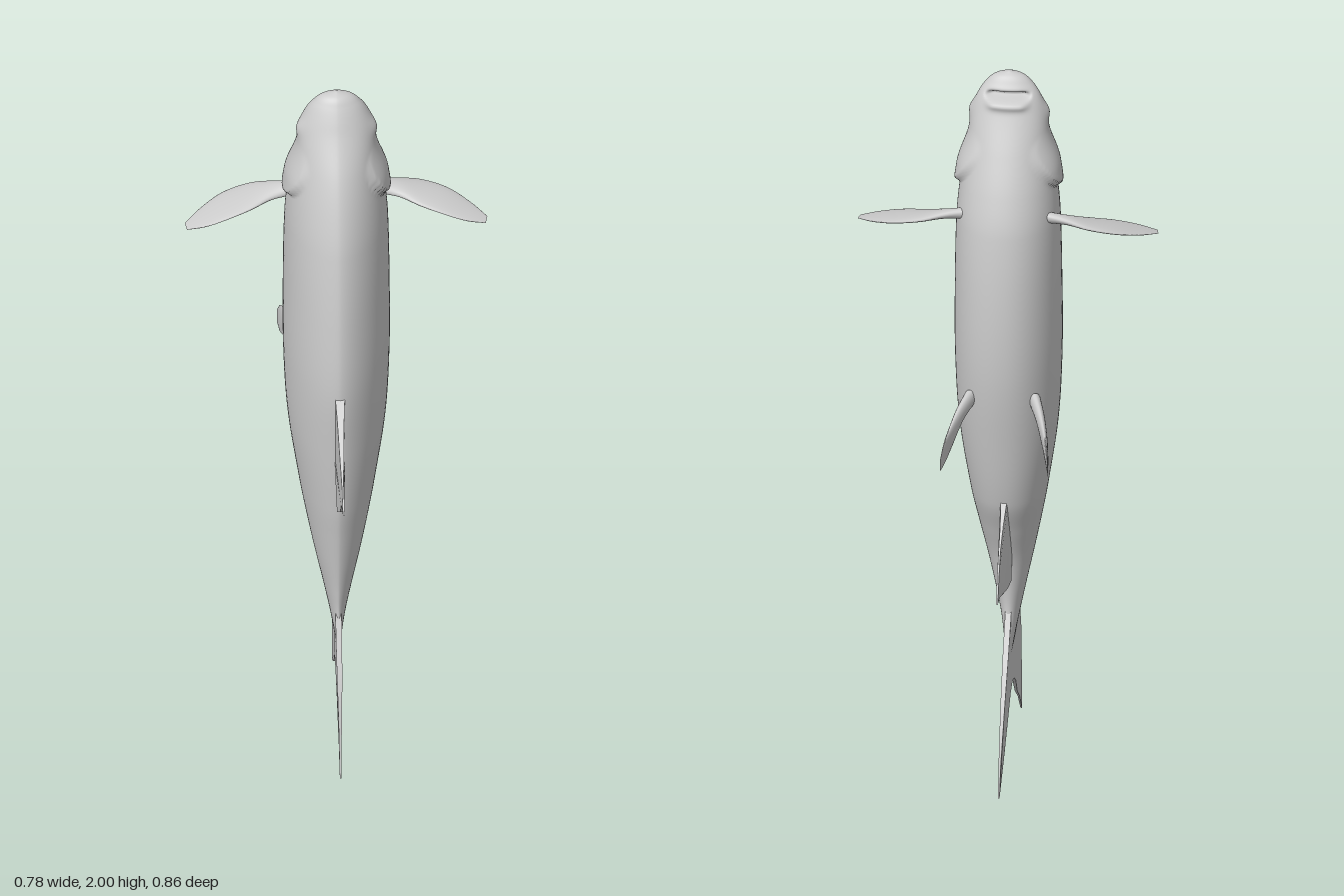
import * as THREE from 'three';
import { toCreasedNormals } from 'three/addons/utils/BufferGeometryUtils.js';

const material = new THREE.MeshStandardMaterial({ color: 0xcccccc, side: THREE.DoubleSide });
const { smoothstep } = THREE.MathUtils;

// Body stations, nose to tail: y, back z, belly z, half width
const STATIONS = [
  [2.0, -0.06, -0.066, 0.0],
  [1.99, -0.04, -0.082, 0.036],
  [1.97, -0.025, -0.096, 0.06],
  [1.94, -0.008, -0.116, 0.08],
  [1.9, 0.012, -0.132, 0.095],
  [1.8, 0.068, -0.18, 0.11],
  [1.7, 0.108, -0.222, 0.125],
  [1.6, 0.135, -0.25, 0.134],
  [1.4, 0.165, -0.27, 0.138],
  [1.2, 0.178, -0.268, 0.138],
  [1.0, 0.162, -0.24, 0.128],
  [0.8, 0.138, -0.198, 0.1],
  [0.7, 0.12, -0.155, 0.082],
  [0.6, 0.102, -0.115, 0.062],
  [0.5, 0.085, -0.097, 0.041],
  [0.42, 0.077, -0.096, 0.025],
  [0.36, 0.09, -0.12, 0.014],
  [0.3, 0.11, -0.15, 0.005],
];

// Smooth interpolation of one station column at height y
function sample(y, col) {
  const s = STATIONS, last = s.length - 1;
  let i = 0;
  while (i < last - 1 && y < s[i + 1][0]) i++;
  const slope = (k) => {
    const a = s[Math.max(k - 1, 0)], b = s[Math.min(k + 1, last)];
    return (b[col] - a[col]) / (b[0] - a[0]);
  };
  const h = s[i + 1][0] - s[i][0], t = (y - s[i][0]) / h, u = 1 - t;
  return s[i][col] * (1 + 2 * t) * u * u + s[i + 1][col] * t * t * (3 - 2 * t)
    + h * (slope(i) * t * u * u - slope(i + 1) * t * t * u);
}

// Skin of closed rings; point(u, angle) returns a Vector3
function loft(rings, sides, point) {
  const pos = [], index = [];
  for (let i = 0; i <= rings; i++) {
    for (let j = 0; j < sides; j++) {
      pos.push(...point(i / rings, (j / sides) * Math.PI * 2).toArray());
      if (i === rings) continue;
      const a = i * sides + j, b = i * sides + ((j + 1) % sides);
      index.push(a, a + sides, b, b, a + sides, b + sides);
    }
  }
  const g = new THREE.BufferGeometry();
  g.setAttribute('position', new THREE.Float32BufferAttribute(pos, 3));
  g.setIndex(index);
  g.computeVertexNormals();
  return g;
}

function bodyPoint(u, angle) {
  const y = 2 - 1.7 * Math.pow(u, 1.4);
  const back = sample(y, 1), belly = sample(y, 2), w = Math.max(sample(y, 3), 0);
  const mid = belly + (back - belly) * 0.42;
  const c = Math.cos(angle), s = Math.sin(angle);
  // Egg section: narrower along the back, fuller at the belly
  let x = w * Math.sign(s) * Math.pow(Math.abs(s), c > 0 ? 1.2 : 0.95);
  let z = mid + c * (c > 0 ? back - mid : mid - belly);
  const side = Math.sign(x) * smoothstep(Math.abs(s), 0.1, 0.6);
  // Gill cover with a stepped rear edge
  const q = Math.hypot((z + 0.07) / 0.095, (y - 1.775) / 0.087);
  x += side * 0.016 * (1 - smoothstep(q, 0.9, 1.03)) * (1 - smoothstep(y, 1.74, 1.85));
  // Eye bump
  x += side * 0.008 * Math.exp(-((y - 1.89) ** 2 + (z + 0.06) ** 2) / 0.0005);
  // Mouth slit and lower lip
  if (c < 0) {
    const wide = 1 - smoothstep(Math.abs(x), 0.035, 0.066);
    z += 0.028 * wide * Math.exp(-(((y - 1.946) / 0.008) ** 2));
    z -= 0.01 * wide * Math.exp(-(((y - 1.925) / 0.011) ** 2));
  }
  return new THREE.Vector3(x, y, z);
}

// Flat fin on the centre line: outline in (z, y), thick at the body and thin at the rim
function medianFin(name, outline, thickness) {
  const shape = new THREE.Shape(outline.map(([z, y]) => new THREE.Vector2(z, y)));
  const g = new THREE.ExtrudeGeometry(shape, {
    depth: 1, bevelEnabled: false, steps: 1,
  }).translate(0, 0, -0.5).rotateY(-Math.PI / 2);
  const p = g.attributes.position;
  for (let i = 0; i < p.count; i++) {
    p.setX(i, p.getX(i) * thickness(p.getZ(i), p.getY(i)));
  }
  const mesh = new THREE.Mesh(toCreasedNormals(g, 0.7), material);
  mesh.name = name;
  return mesh;
}

// Lens-section fin between two edge curves, made for the left and mirrored to the right
function pairedFin(name, edgeA, edgeB, thick) {
  const curve = (pts) => new THREE.CatmullRomCurve3(pts.map((p) => new THREE.Vector3(...p)));
  const A = curve(edgeA), B = curve(edgeB);
  const g = loft(28, 20, (u, angle) => {
    const a = A.getPoint(u), b = B.getPoint(u);
    const mid = a.clone().add(b).multiplyScalar(0.5);
    const half = a.clone().sub(mid);
    const span = A.getTangent(u).add(B.getTangent(u));
    const normal = new THREE.Vector3().crossVectors(half, span).normalize();
    const t = thick * (1 - u) + 0.002 * (1 - u ** 6);
    return mid.addScaledVector(half, Math.cos(angle)).addScaledVector(normal, t * Math.sin(angle));
  });
  return [1, -1].map((sx) => {
    const mesh = new THREE.Mesh(g, material);
    mesh.name = (sx > 0 ? 'left' : 'right') + name;
    mesh.scale.x = sx;
    return mesh;
  });
}

export function createModel() {
  const group = new THREE.Group();
  group.name = 'fish';

  const body = new THREE.Mesh(loft(240, 96, bodyPoint), material);
  body.name = 'body';
  group.add(body);

  group.add(medianFin('tailFin', [
    [0.06, 0.46], [0.076, 0.42], [0.12, 0.34], [0.16, 0.26], [0.185, 0.16], [0.21, 0.005],
    [0.15, 0.07], [0.09, 0.115], [0.045, 0.17], [0, 0.2], [-0.04, 0.21], [-0.08, 0.196],
    [-0.13, 0.145], [-0.2, 0.085], [-0.313, 0.008], [-0.295, 0.09], [-0.225, 0.23],
    [-0.155, 0.34], [-0.096, 0.43], [-0.08, 0.46],
  ], (z, y) => 0.004 + 0.012 * smoothstep(y, 0, 0.4)));

  group.add(medianFin('dorsalFin', [
    [0.14, 1.2], [0.178, 1.185], [0.215, 1.15], [0.28, 1.095], [0.345, 1.04], [0.43, 1.0],
    [0.37, 0.98], [0.315, 0.95], [0.275, 0.9], [0.212, 0.855], [0.19, 0.9], [0.175, 0.96],
    [0.16, 0.975], [0.13, 0.98],
  ], (z) => 0.005 + 0.02 * (1 - smoothstep(z, 0.16, 0.3))));

  group.add(medianFin('analFin', [
    [-0.16, 0.83], [-0.2, 0.81], [-0.245, 0.765], [-0.295, 0.72], [-0.325, 0.67], [-0.358, 0.595],
    [-0.31, 0.592], [-0.25, 0.57], [-0.185, 0.555], [-0.125, 0.548], [-0.122, 0.59],
    [-0.105, 0.615], [-0.08, 0.64],
  ], (z) => 0.005 + 0.02 * smoothstep(z, -0.28, -0.13)));

  group.add(...pairedFin('PectoralFin', [
    [0.1, 1.64, -0.17], [0.16, 1.63, -0.185], [0.22, 1.617, -0.197],
    [0.29, 1.6, -0.183], [0.35, 1.58, -0.142], [0.392, 1.565, -0.098],
  ], [
    [0.1, 1.615, -0.145], [0.165, 1.612, -0.128], [0.22, 1.6, -0.1],
    [0.28, 1.587, -0.078], [0.34, 1.572, -0.067], [0.387, 1.562, -0.071],
  ], 0.013));

  group.add(...pairedFin('PelvicFin', [
    [0.085, 1.15, -0.23], [0.105, 1.128, -0.29], [0.122, 1.1, -0.35],
    [0.132, 1.08, -0.4], [0.14, 1.045, -0.43],
  ], [
    [0.085, 1.1, -0.22], [0.105, 1.078, -0.275], [0.12, 1.04, -0.32],
    [0.132, 1.013, -0.37], [0.14, 1.008, -0.423],
  ], 0.013));

  return group;
}
